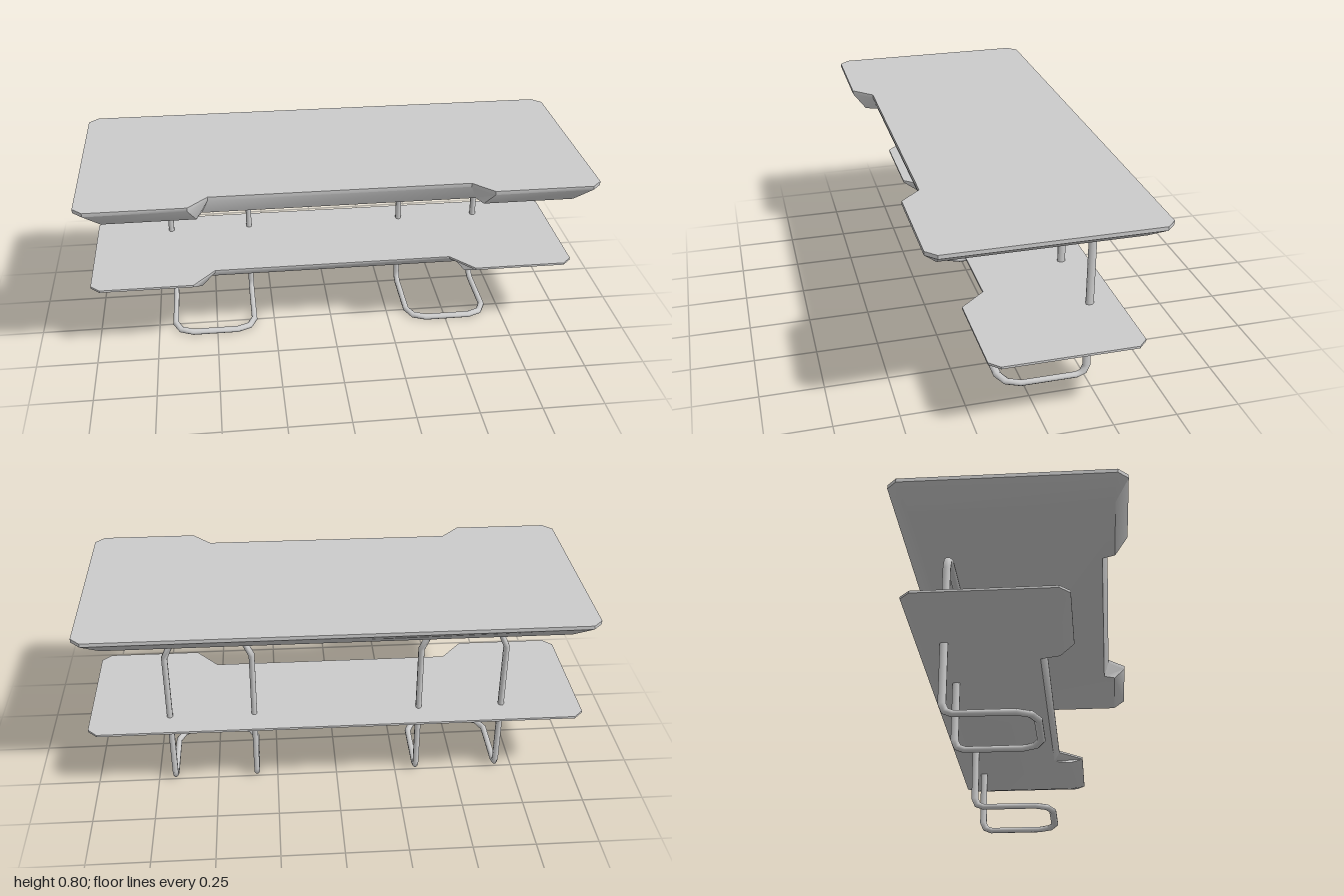
import * as THREE from 'three';
import { toCreasedNormals } from 'three/addons/utils/BufferGeometryUtils.js';

const material = new THREE.MeshStandardMaterial({ color: 0xcccccc, side: THREE.DoubleSide });

function indexed(points, index) {
  const g = new THREE.BufferGeometry().setFromPoints(points);
  g.setIndex(index);
  return g;
}

// Board outline, counter-clockwise from above, with clipped corners and a front notch
function outline(y, o) {
  const { x, front, back, notch, notchIn, notchOut, clip } = o;
  const half = [
    [notchIn, notch], [notchOut, front], [x - clip, front],
    [x, front - clip], [x, back + clip], [x - clip, back],
  ];
  const mirrored = half.map(([px, pz]) => [-px, pz]).reverse();
  return [...half, ...mirrored].map(([px, pz]) => new THREE.Vector3(px, y, pz));
}

// Board: flat top, thin upright lip, then a bevel in to a smaller underside
function board(name, yTop, yLip, yBottom, top, bottom) {
  const rings = [outline(yTop, top), outline(yLip, top), outline(yBottom, bottom)];
  const n = rings[0].length, index = [];
  for (let r = 0; r < 2; r++) {
    for (let i = 0; i < n; i++) {
      const k = (i + 1) % n;
      const a = r * n + i, a2 = r * n + k, b = a + n, b2 = a2 + n;
      index.push(b, b2, a2, b, a2, a);
    }
  }
  const cap = ring => THREE.ShapeUtils.triangulateShape(ring.map(p => new THREE.Vector2(p.x, -p.z)), []);
  for (const [a, b, c] of cap(rings[0])) index.push(a, b, c);
  for (const [a, b, c] of cap(rings[2])) index.push(2 * n + a, 2 * n + c, 2 * n + b);
  const mesh = new THREE.Mesh(toCreasedNormals(indexed(rings.flat(), index), 0.75), material);
  mesh.name = name;
  return mesh;
}

// Leg: one closed tube loop with mitred bends, swept for one half and mirrored
function legGeometry() {
  const sides = 8, radius = 0.01245, stretch = 1.3;
  const path = [
    [0, 0.686, -0.255], [0.095, 0.686, -0.255], [0.147, 0.664, -0.255], [0.171, 0.61, -0.255],
    [0.171, 0.05, -0.255], [0.171, 0.022, -0.243], [0.171, 0.011, -0.215],
    [0.171, 0.011, 0.01], [0.147, 0.011, 0.062], [0.095, 0.011, 0.085], [0, 0.011, 0.085],
  ].map(([x, y, z]) => new THREE.Vector3(x, y, z / stretch));

  // Carry the section along each segment onto the next mitre plane
  let ring = Array.from({ length: sides }, (_, j) => {
    const a = (j + 0.5) / sides * Math.PI * 2;
    return new THREE.Vector3(0, Math.cos(a) * radius, Math.sin(a) * radius).add(path[0]);
  });
  const half = [ring];
  for (let i = 1; i < path.length; i++) {
    const dir = path[i].clone().sub(path[i - 1]).normalize();
    const normal = dir.clone();
    if (i + 1 < path.length) normal.add(path[i + 1].clone().sub(path[i]).normalize()).normalize();
    ring = ring.map(p => {
      const t = path[i].clone().sub(p).dot(normal) / dir.dot(normal);
      return p.clone().addScaledVector(dir, t);
    });
    half.push(ring);
  }
  const mirrored = half.slice(1, -1).reverse().map(r => r.map(p => new THREE.Vector3(-p.x, p.y, p.z)));
  const rings = [...half, ...mirrored], index = [];
  for (let i = 0; i < rings.length; i++) {
    const next = (i + 1) % rings.length;
    for (let j = 0; j < sides; j++) {
      const k = (j + 1) % sides;
      const a = i * sides + j, b = i * sides + k, c = next * sides + k, d = next * sides + j;
      index.push(a, b, c, a, c, d);
    }
  }
  const g = indexed(rings.flat(), index);
  g.scale(1, 1, stretch);
  g.computeVertexNormals();
  return g;
}

export function createModel() {
  const model = new THREE.Group();
  model.name = 'table';

  model.add(board('tableTop', 0.8, 0.785, 0.724,
    { x: 1, front: 0.435, back: -0.438, notch: 0.357, notchIn: 0.505, notchOut: 0.58, clip: 0.038 },
    { x: 0.907, front: 0.385, back: -0.37, notch: 0.335, notchIn: 0.53, notchOut: 0.55, clip: 0.004 }));

  model.add(board('lowerShelf', 0.331, 0.322, 0.292,
    { x: 1, front: 0.22, back: -0.369, notch: 0.115, notchIn: 0.495, notchOut: 0.585, clip: 0.038 },
    { x: 0.907, front: 0.165, back: -0.3, notch: 0.09, notchIn: 0.53, notchOut: 0.55, clip: 0.004 }));

  const geometry = legGeometry();
  for (const side of [1, -1]) {
    const leg = new THREE.Mesh(geometry, material);
    leg.name = side > 0 ? 'leftLeg' : 'rightLeg';
    leg.position.x = side * 0.508;
    model.add(leg);
  }
  return model;
}
